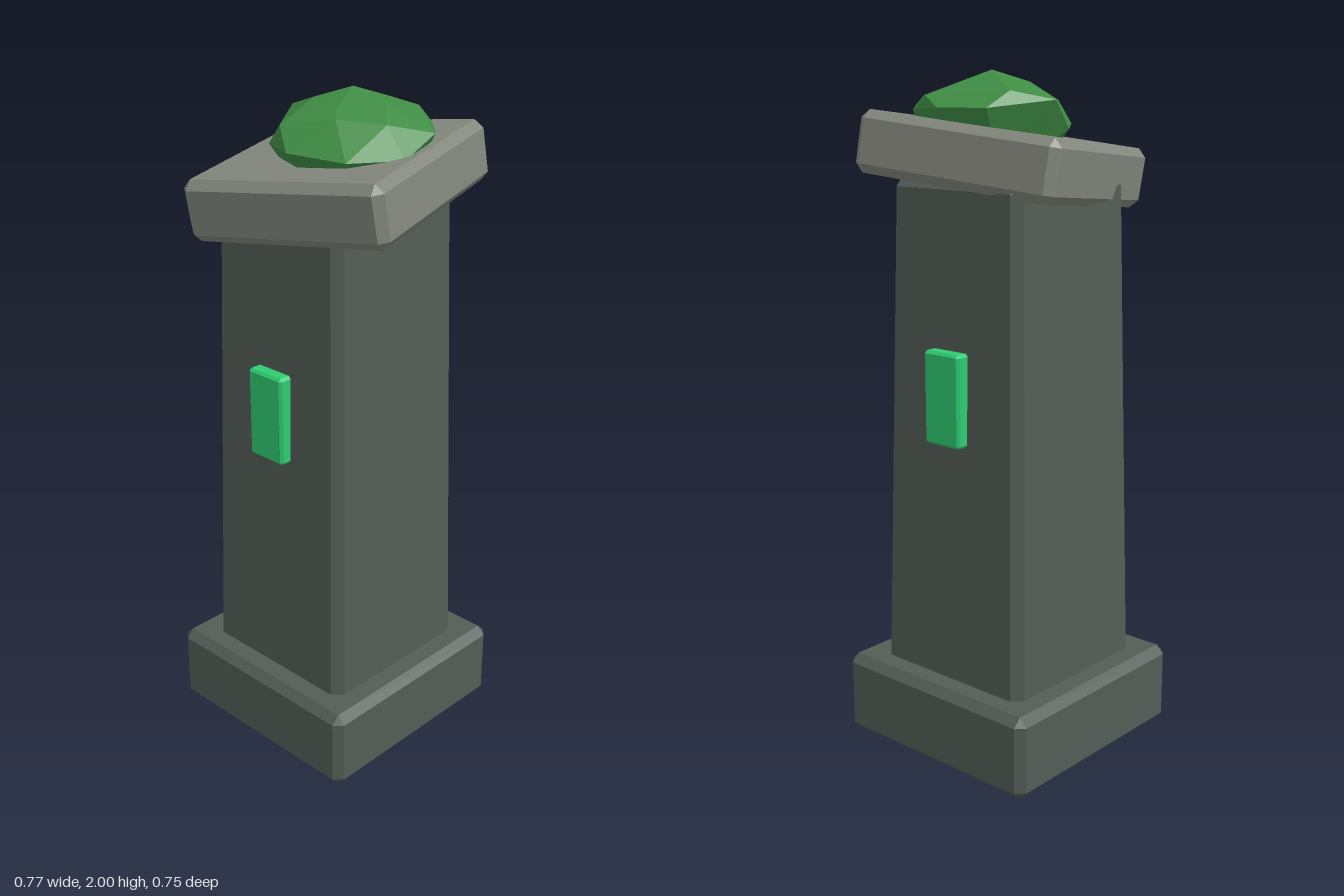
import * as THREE from 'three';
import { ConvexGeometry } from 'three/addons/geometries/ConvexGeometry.js';

// Box with every edge chamfered by b; the top can be narrower than the bottom.
function chamferBox(w, h, d, b, topScale = 1) {
  const half = [w / 2, h / 2, d / 2];
  const points = [];
  for (const sx of [-1, 1]) for (const sy of [-1, 1]) for (const sz of [-1, 1]) {
    for (let full = 0; full < 3; full++) {
      const [x, y, z] = half.map((v, axis) => (axis === full ? v : v - b));
      const s = THREE.MathUtils.lerp(1, topScale, (sy * y + h / 2) / h);
      points.push(new THREE.Vector3(sx * x * s, sy * y, sz * z * s));
    }
  }
  return new ConvexGeometry(points);
}

export function createModel() {
  const darkStone = new THREE.MeshStandardMaterial({ name: 'darkStone', color: 0x535d56 });
  const paleStone = new THREE.MeshStandardMaterial({ name: 'paleStone', color: 0x82867c });
  const glowGreen = new THREE.MeshStandardMaterial({ name: 'glowGreen', color: 0x2ecc71 });
  const mossGreen = new THREE.MeshStandardMaterial({ name: 'mossGreen', color: 0x3f8c44 });

  const model = new THREE.Group();
  model.name = 'stonePillar';
  const add = (name, geometry, material, x, y, z) => {
    const mesh = new THREE.Mesh(geometry, material);
    mesh.name = name;
    mesh.position.set(x, y, z);
    model.add(mesh);
    return mesh;
  };

  // The pillar stands slightly off centre under its crooked cap.
  const px = -0.026, pz = -0.019;
  add('base', chamferBox(0.708, 0.25, 0.708, 0.025), darkStone, px, 0.125, pz);
  add('shaft', chamferBox(0.548, 1.51, 0.548, 0.03, 0.87), darkStone, px, 0.955, pz);

  // Glowing panels on front and back
  for (const [name, side] of [['frontPanel', 1], ['backPanel', -1]]) {
    add(name, chamferBox(0.134, 0.27, 0.08, 0.008), glowGreen, px, 1.1, pz + side * 0.25);
  }

  // Tilted and twisted cap slab
  const cap = add('cap', chamferBox(0.625, 0.175, 0.625, 0.025), paleStone, 0.01, 1.748, 0.003);
  cap.rotation.set(0.093, 0.237, 0.115, 'YXZ');

  // Faceted moss mound: apex, upper facets, rim and a buried underside
  const mound = [
    [0.02, 2.0, -0.04],
    [0.05, 1.966, -0.14], [-0.07, 1.967, -0.1], [-0.07, 1.967, 0.02],
    [0.055, 1.962, 0.06], [0.145, 1.963, -0.04],
    [-0.14, 1.945, -0.145], [-0.055, 1.915, 0.165], [0.09, 1.94, 0.1],
    [0.2, 1.93, 0.02], [0.17, 1.93, -0.16], [0.09, 1.93, -0.235],
    [0.01, 1.9, -0.275], [0.145, 1.89, -0.23], [0.265, 1.9, -0.1],
    [0.275, 1.85, 0.03], [0.185, 1.85, 0.16], [0.02, 1.86, 0.215],
    [-0.125, 1.85, 0.14], [-0.2, 1.84, 0.035], [-0.215, 1.92, -0.04],
    [-0.125, 1.9, -0.225],
  ].map((p) => new THREE.Vector3(...p));
  for (let i = 0; i < 8; i++) {
    const a = (i / 8) * Math.PI * 2;
    mound.push(new THREE.Vector3(0.03 + 0.19 * Math.cos(a), 1.79, -0.03 + 0.19 * Math.sin(a)));
  }
  add('mossMound', new ConvexGeometry(mound), mossGreen, 0, 0, 0);

  return model;
}
